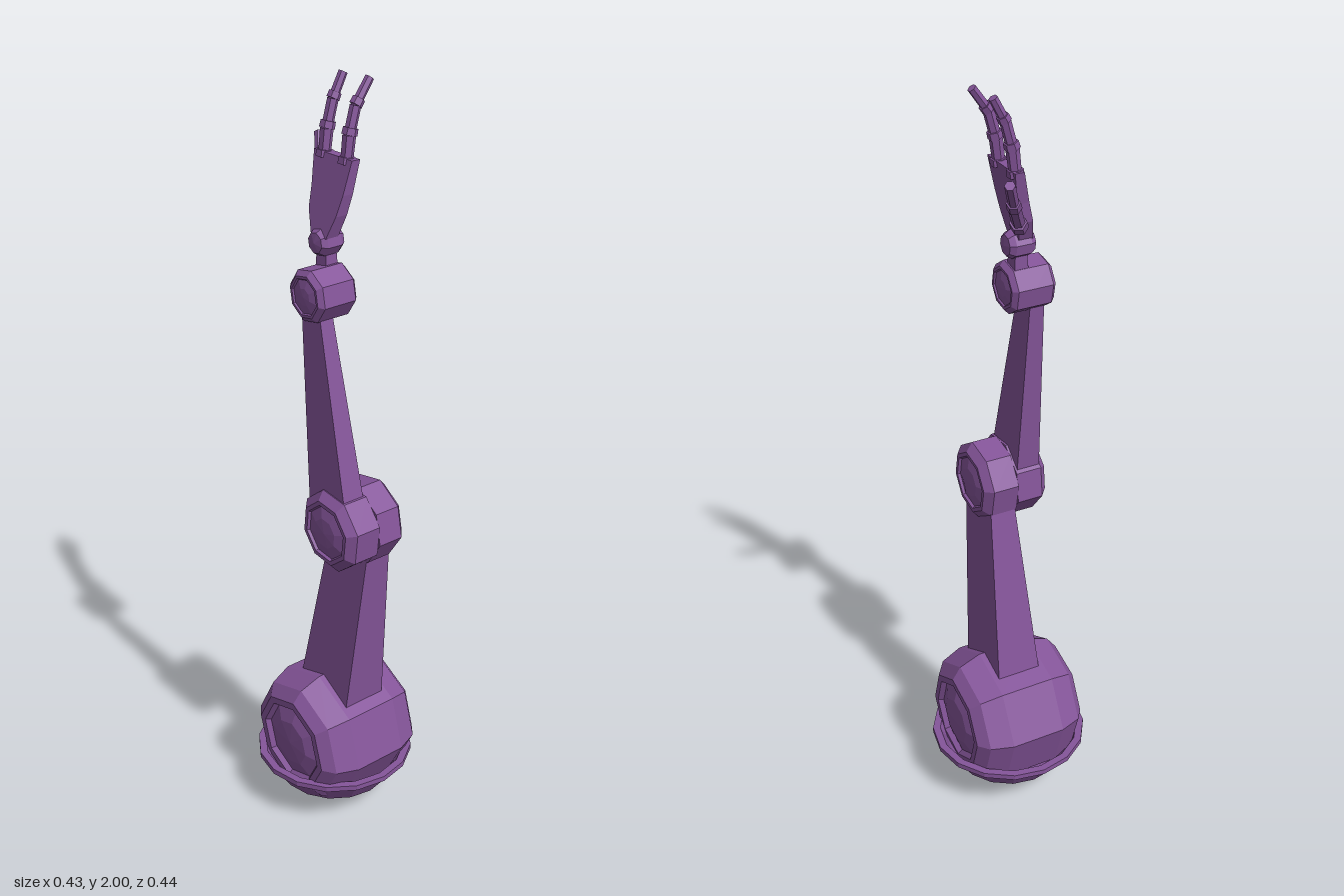
import * as THREE from 'three';

const purple = new THREE.MeshStandardMaterial({ color: 0x85559a });
purple.name = 'purple';

// Flat-faceted mesh
function part(name, geo) {
  const g = geo.index ? geo.toNonIndexed() : geo;
  g.computeVertexNormals();
  const mesh = new THREE.Mesh(g, purple);
  mesh.name = name;
  return mesh;
}

// Turned part lying along x; profile is [x, radius] with x increasing
function drum(name, profile, sides, phase, x, y, z) {
  const geo = new THREE.LatheGeometry(profile.map(([a, r]) => new THREE.Vector2(r, a)), sides);
  geo.rotateZ(-Math.PI / 2);
  geo.rotateX(phase);
  geo.translate(x, y, z);
  return part(name, geo);
}

// Mirror an outward half profile to both sides
const mirrored = half => [...half.map(([x, r]) => [-x, r]).reverse(), ...half];
const flipped = half => half.map(([x, r]) => [-x, r]).reverse();

// Tapered beam between two horizontal rectangles [y, x0, x1, z0, z1]
function beam(name, low, high) {
  const geo = new THREE.BoxGeometry(1, 1, 1);
  const p = geo.attributes.position;
  for (let i = 0; i < p.count; i++) {
    const s = p.getY(i) < 0 ? low : high;
    p.setXYZ(i, p.getX(i) < 0 ? s[1] : s[2], s[0], p.getZ(i) < 0 ? s[3] : s[4]);
  }
  return part(name, geo);
}

// Tapered rod between two points
function rod(name, a, b, r0, r1, sides = 6) {
  const from = new THREE.Vector3(...a), dir = new THREE.Vector3(...b).sub(from);
  const geo = new THREE.CylinderGeometry(r1, r0, dir.length(), sides);
  geo.translate(0, dir.length() / 2, 0);
  geo.applyQuaternion(new THREE.Quaternion().setFromUnitVectors(new THREE.Vector3(0, 1, 0), dir.normalize()));
  geo.translate(...a);
  return part(name, geo);
}

// Chain of tapered segments, each flaring into a wider knuckle
function finger(name, pts, radii) {
  const g = new THREE.Group();
  g.name = name;
  for (let i = 0; i < pts.length - 1; i++) {
    const a = new THREE.Vector3(...pts[i]), b = new THREE.Vector3(...pts[i + 1]);
    const k = a.clone().lerp(b, 0.25);
    g.add(rod('knuckle', a.toArray(), k.toArray(), radii[i], radii[i] * 0.95));
    g.add(rod('fingerBone', k.toArray(), b.toArray(), radii[i] * 0.72, radii[i + 1] * 0.85));
  }
  return g;
}

export function createModel() {
  const model = new THREE.Group();
  model.name = 'mechanicalArm';

  // Open bowl the shoulder sits in
  const bowl = [[0, 0], [0.09, 0.025], [0.155, 0.07], [0.195, 0.13], [0.213, 0.14], [0.213, 0.155],
    [0.193, 0.155], [0.175, 0.12], [0.13, 0.075], [0, 0.04]];
  const bowlGeo = new THREE.LatheGeometry(bowl.map(p => new THREE.Vector2(...p)), 16);
  bowlGeo.translate(0, 0, -0.008);
  model.add(part('bowlBase', bowlGeo));

  // Shoulder barrel with recessed ring and domed caps
  const shoulder = mirrored([[0.075, 0.19], [0.135, 0.168], [0.16, 0.135], [0.16, 0.115],
    [0.147, 0.105], [0.16, 0.065], [0.163, 0]]);
  model.add(drum('shoulderJoint', shoulder, 8, 0.1, 0, 0.225, 0));

  model.add(beam('upperArm', [0.34, -0.063, 0.063, -0.08, 0.115], [0.86, -0.034, 0.036, 0.02, 0.167]));

  // Elbow: two drums side by side
  const elbowHalf = [[0, 0], [0, 0.108], [0.07, 0.108], [0.09, 0.085], [0.09, 0.074], [0.083, 0.07], [0.091, 0.04], [0.093, 0]];
  model.add(drum('upperElbowJoint', elbowHalf, 8, 0.2, -0.037, 0.915, 0.11));
  model.add(drum('lowerElbowJoint', flipped(elbowHalf), 8, 0.5, -0.037, 0.915, 0.11));

  model.add(beam('forearm', [0.96, -0.106, -0.042, 0.025, 0.168], [1.5, -0.09, -0.054, -0.022, 0.04]));

  // Wrist: smaller pair of drums
  const wristHalf = [[0, 0], [0, 0.067], [0.046, 0.067], [0.058, 0.054], [0.058, 0.047], [0.054, 0.044], [0.059, 0.022], [0.06, 0]];
  model.add(drum('wristJointLeft', wristHalf, 8, 0.2, -0.052, 1.503, 0.014));
  model.add(drum('wristJointRight', flipped(wristHalf), 8, 0.2, -0.052, 1.503, 0.014));
  model.add(beam('handPost', [1.53, -0.048, -0.008, -0.022, 0.018], [1.62, -0.04, -0.012, -0.022, 0.012]));
  const knob = mirrored([[0.02, 0.035], [0.034, 0.026], [0.038, 0]]);
  model.add(drum('handJoint', knob, 8, 0.2, -0.027, 1.62, -0.005));

  // Palm: side outline, thinned and leaned toward +x as it rises
  const outline = [[-0.025, 1.635], [0.03, 1.635], [0.055, 1.69], [0.06, 1.74], [0.075, 1.82], [-0.063, 1.82], [-0.055, 1.74], [-0.045, 1.69]];
  const palm = new THREE.ExtrudeGeometry(new THREE.Shape(outline.map(p => new THREE.Vector2(...p))), { depth: 1, bevelEnabled: false });
  palm.translate(0, 0, -0.5);
  palm.rotateY(Math.PI / 2);
  const p = palm.attributes.position;
  for (let i = 0; i < p.count; i++) {
    const t = (p.getY(i) - 1.635) / 0.185;
    p.setX(i, -0.034 + 0.04 * t + p.getX(i) * (0.038 - 0.014 * t));
  }
  model.add(part('palm', palm));

  // Two curved fingers and the splayed thumb
  for (const [z, tip] of [[0.031, 0.071], [-0.05, 0.06]]) {
    model.add(finger('finger', [[0.004, 1.805, z], [0.012, 1.87, z], [0.03, 1.935, z], [tip, 1.992, z]],
      [0.021, 0.019, 0.016, 0.013]));
  }
  model.add(finger('thumb', [[-0.012, 1.675, -0.04], [0.034, 1.752, -0.102], [0.072, 1.83, -0.153]],
    [0.022, 0.018, 0.015]));

  return model;
}
